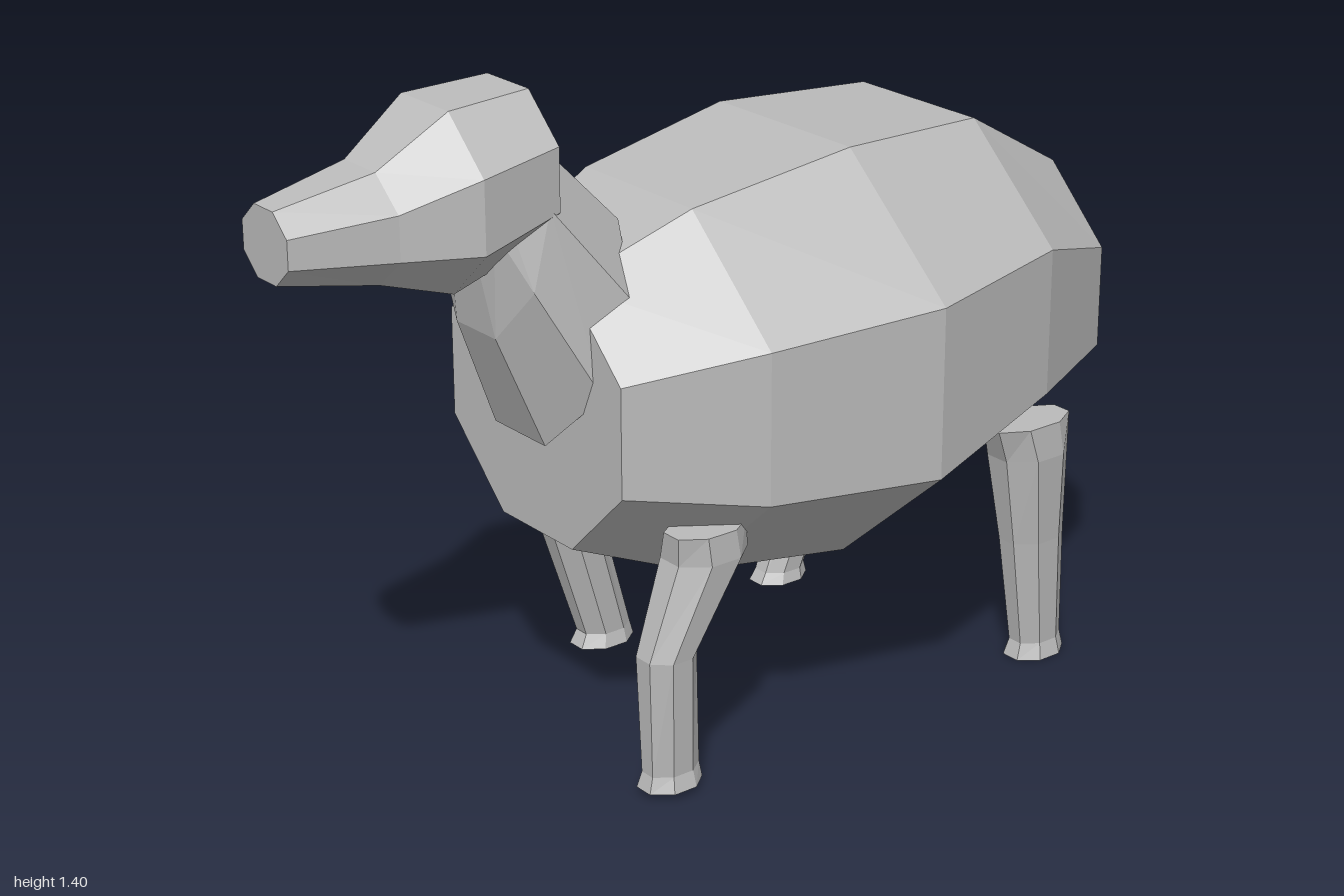
import * as THREE from 'three';

const wool = new THREE.MeshStandardMaterial({ color: 0xbbbbbb, flatShading: true });
wool.name = 'plain grey';

const SIDES = 8;

// Octagonal ring: centre x, half width, then the (y, z) of its upper and lower edge.
function ringPoints([x, rx, y1, z1, y0, z0]) {
  const points = [];
  for (let k = 0; k < SIDES; k++) {
    const a = ((k + 0.5) / SIDES) * Math.PI * 2;
    const s = 1 / Math.cos(Math.PI / SIDES);
    const u = Math.cos(a) * s, v = Math.sin(a) * s;
    points.push([
      x + u * rx,
      (y1 + y0) / 2 + (v * (y1 - y0)) / 2,
      (z1 + z0) / 2 + (v * (z1 - z0)) / 2,
    ]);
  }
  return points;
}

// Closed skin through a row of rings.
function loft(name, rings) {
  const positions = rings.flatMap((r) => ringPoints(r).flat());
  const index = [];
  for (let i = 0; i < rings.length - 1; i++) {
    for (let k = 0; k < SIDES; k++) {
      const a = i * SIDES + k, b = i * SIDES + ((k + 1) % SIDES);
      index.push(a, b, b + SIDES, a, b + SIDES, a + SIDES);
    }
  }
  const last = (rings.length - 1) * SIDES;
  for (let k = 1; k < SIDES - 1; k++) {
    index.push(0, k + 1, k, last, last + k, last + k + 1);
  }
  const geometry = new THREE.BufferGeometry();
  geometry.setAttribute('position', new THREE.Float32BufferAttribute(positions, 3));
  geometry.setIndex(index);
  const flat = geometry.toNonIndexed();
  flat.computeVertexNormals();
  const mesh = new THREE.Mesh(flat, wool);
  mesh.name = name;
  return mesh;
}

// Level leg rings: x, half width, y, front z, back z.
const leg = (name, rings) =>
  loft(name, rings.map(([x, rx, y, front, back]) => [x, rx, y, front, y, back]));

const frontHip = (s) => [[s * 0.3, 0.055, 0.55, 0.34, 0.175], [s * 0.288, 0.07, 0.49, 0.335, 0.165]];
const backHip = (s) => [[s * 0.3, 0.055, 0.555, -0.495, -0.695], [s * 0.288, 0.07, 0.48, -0.525, -0.7]];

export function createModel() {
  const group = new THREE.Group();
  group.name = 'sheep';

  // Barrel body, from rump to chest
  group.add(loft('body', [
    [0, 0.265, 1.025, -0.83, 0.5, -0.83],
    [0, 0.41, 1.185, -0.54, 0.44, -0.54],
    [0, 0.49, 1.2, -0.18, 0.34, -0.18],
    [0, 0.41, 1.14, 0.185, 0.385, 0.185],
    [0, 0.28, 1.03, 0.44, 0.485, 0.44],
  ]));

  // Leaning neck, from shoulders into the head
  group.add(loft('neck', [
    [0, 0.2, 1.12, 0.295, 0.7, 0.475],
    [0, 0.155, 1.31, 0.475, 0.935, 0.57],
    [0, 0.1, 1.31, 0.58, 1.1, 0.595],
  ]));

  // Head, from crown to muzzle
  group.add(loft('head', [
    [-0.005, 0.16, 1.405, 0.48, 1.1, 0.48],
    [-0.012, 0.187, 1.395, 0.66, 1.045, 0.66],
    [-0.017, 0.125, 1.3, 0.8, 1.085, 0.8],
    [-0.023, 0.077, 1.26, 1.0, 1.12, 1.0],
  ]));

  // Tail, from tip to root
  group.add(loft('tail', [
    [-0.033, 0.02, 0.79, -1.0, 0.75, -1.0],
    [-0.02, 0.035, 0.873, -0.93, 0.79, -0.93],
    [-0.006, 0.05, 0.955, -0.825, 0.84, -0.825],
  ]));

  // Legs, each in its own step of the walk
  group.add(leg('frontLegLeft', [
    ...frontHip(1),
    [0.287, 0.053, 0.3, 0.4, 0.285],
    [0.285, 0.042, 0.048, 0.39, 0.275],
    [0.285, 0.052, 0.015, 0.4, 0.27],
  ]));
  group.add(leg('frontLegRight', [
    ...frontHip(-1),
    [-0.288, 0.058, 0.38, 0.235, 0.105],
    [-0.288, 0.043, 0.06, 0.13, 0.015],
    [-0.288, 0.052, 0.03, 0.145, 0.008],
  ]));
  group.add(leg('backLegLeft', [
    ...backHip(1),
    [0.287, 0.053, 0.28, -0.562, -0.705],
    [0.285, 0.042, 0.035, -0.6, -0.715],
    [0.285, 0.052, 0, -0.588, -0.722],
  ]));
  group.add(leg('backLegRight', [
    ...backHip(-1),
    [-0.288, 0.055, 0.28, -0.445, -0.56],
    [-0.288, 0.043, 0.06, -0.365, -0.475],
    [-0.288, 0.05, 0.035, -0.35, -0.48],
  ]));

  return group;
}
